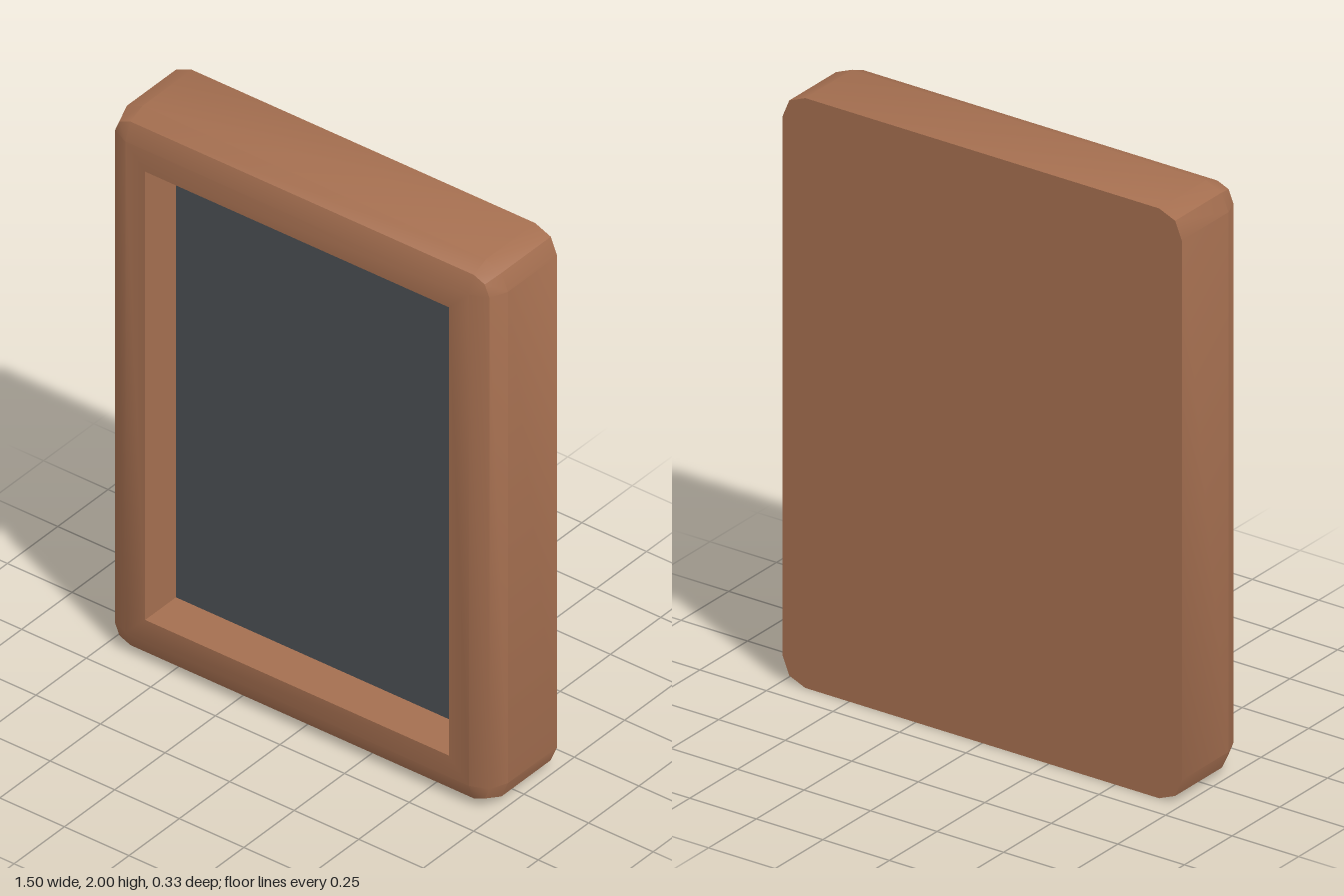
import * as THREE from 'three';
import { toCreasedNormals } from 'three/addons/utils/BufferGeometryUtils.js';

const W = 0.75, H = 1, Z = 0.165, R = 0.085;      // half sizes and edge radius
const OPEN_W = 0.588, OPEN_H = 0.835, SCREEN_Z = 0.012;

// Rectangle outline with corners of two segments, anticlockwise from the front
function ring(halfW, halfH, r, z) {
  const points = [];
  [[1, 1], [-1, 1], [-1, -1], [1, -1]].forEach(([sx, sy], corner) => {
    for (let i = 0; i < 3; i++) {
      const a = corner * Math.PI / 2 + i * Math.PI / 4;
      points.push(new THREE.Vector3(
        sx * (halfW - r) + r * Math.cos(a), 1 + sy * (halfH - r) + r * Math.sin(a), z));
    }
  });
  return points;
}

// Skin over successive outlines, closed by a flat cap on the first
function loft(rings) {
  const pos = [];
  const tri = (a, b, c) => {
    if (a.distanceTo(b) < 1e-6 || b.distanceTo(c) < 1e-6 || c.distanceTo(a) < 1e-6) return;
    for (const p of [a, b, c]) pos.push(p.x, p.y, p.z);
  };
  const n = rings[0].length;
  const middle = new THREE.Vector3(0, 1, rings[0][0].z);
  for (let i = 0; i < n; i++) {
    const j = (i + 1) % n;
    tri(middle, rings[0][j], rings[0][i]);
    for (let k = 0; k < rings.length - 1; k++) {
      const a = rings[k], b = rings[k + 1];
      tri(a[i], a[j], b[j]);
      tri(a[i], b[j], b[i]);
    }
  }
  const geometry = new THREE.BufferGeometry();
  geometry.setAttribute('position', new THREE.Float32BufferAttribute(pos, 3));
  return toCreasedNormals(geometry, Math.PI / 6);
}

export function createModel() {
  const wood = new THREE.MeshStandardMaterial({ color: 0xa56f50 });
  wood.name = 'brown frame';
  const dark = new THREE.MeshStandardMaterial({ color: 0x4b4f54 });
  dark.name = 'dark grey panel';

  const group = new THREE.Group();
  group.name = 'framedPanel';

  // Frame: flat back, straight sides, bevelled front, recessed opening
  const mid = R * Math.SQRT1_2, inset = R - mid;
  const frame = new THREE.Mesh(loft([
    ring(W, H, R, -Z),
    ring(W, H, R, Z - R),
    ring(W - inset, H - inset, mid, Z - inset),
    ring(W - R, H - R, 0, Z),
    ring(OPEN_W, OPEN_H, 0, Z),
    ring(OPEN_W, OPEN_H, 0, SCREEN_Z),
  ]), wood);
  frame.name = 'frame';
  // The opening sits a hair above the middle
  group.add(frame);

  // Panel at the bottom of the recess
  const panel = new THREE.Mesh(new THREE.PlaneGeometry(OPEN_W * 2, OPEN_H * 2), dark);
  panel.name = 'panel';
  panel.position.set(0, 1, SCREEN_Z);
  group.add(panel);

  return group;
}
